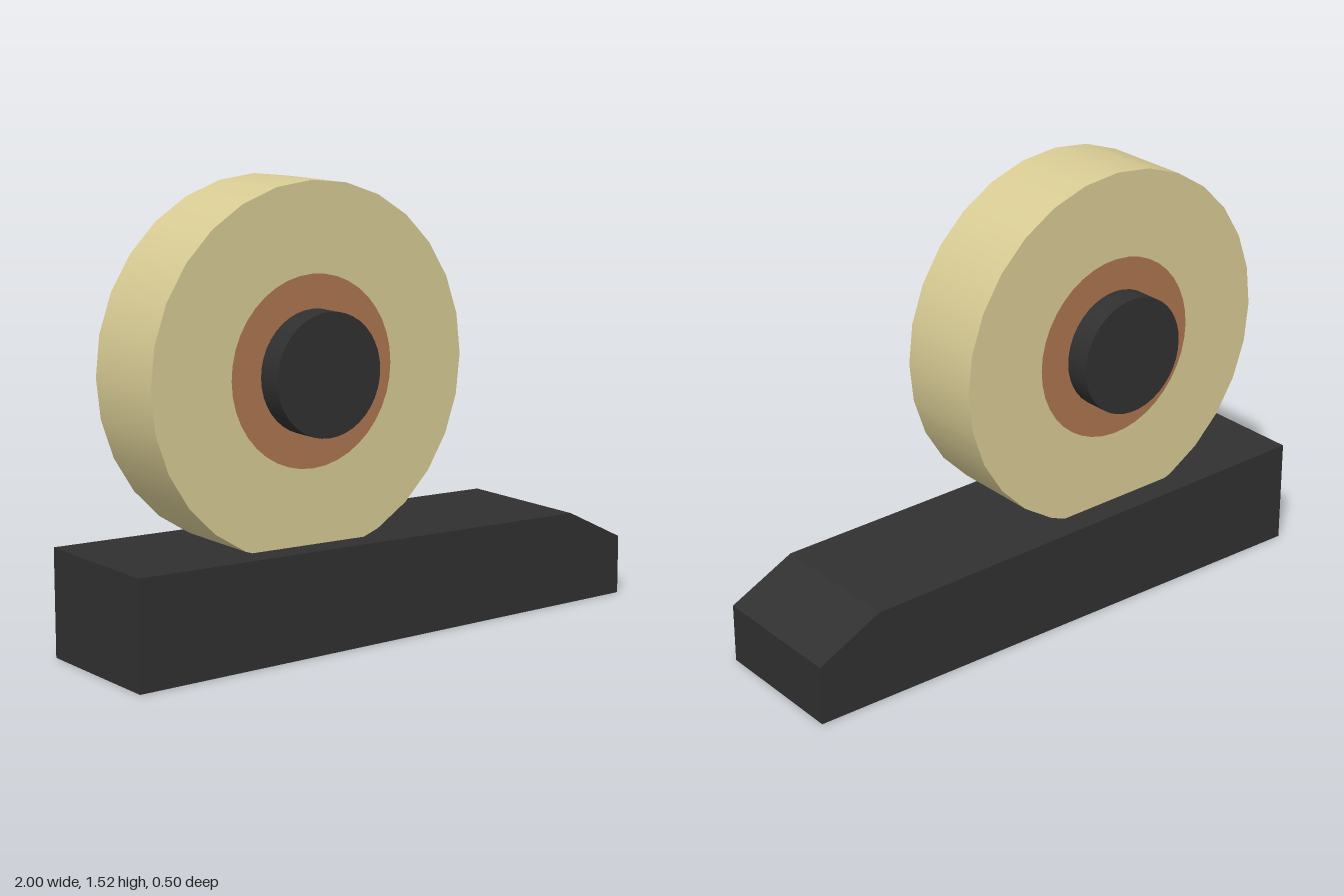
import * as THREE from 'three';

const AXLE_X = -0.275, AXLE_Y = 0.913;

export function createModel() {
  const group = new THREE.Group();
  const material = (name, color) => {
    const m = new THREE.MeshStandardMaterial({ color });
    m.name = name;
    return m;
  };
  const charcoal = material('charcoal', 0x303030);
  const tan = material('tan', 0xd8cb94);
  const brown = material('brown', 0xac7550);

  const add = (name, geometry, mat) => {
    const mesh = new THREE.Mesh(geometry, mat);
    mesh.name = name;
    group.add(mesh);
    return mesh;
  };

  // Disc lying across the model, centred on the axle
  const disc = (name, radius, depth, sides, mat) => {
    const geometry = new THREE.CylinderGeometry(radius, radius, depth, sides);
    geometry.rotateX(Math.PI / 2);
    add(name, geometry, mat).position.set(AXLE_X, AXLE_Y, 0);
  };

  // Base block with a gently sloping top and a bevelled end
  const profile = new THREE.Shape([
    [-1, 0], [1, 0], [1, 0.205], [0.77, 0.32], [-1, 0.365],
  ].map(([x, y]) => new THREE.Vector2(x, y)));
  const baseGeometry = new THREE.ExtrudeGeometry(profile, { depth: 0.5, bevelEnabled: false });
  baseGeometry.translate(0, 0, -0.25);
  add('base', baseGeometry, charcoal);

  // Roll resting in the base, and the spindle through it
  disc('roll', 0.612, 0.318, 28, tan);
  disc('spindle', 0.203, 0.5, 40, charcoal);

  // Thin core ring on each face of the roll
  for (const side of [1, -1]) {
    const ring = add(side > 0 ? 'frontCore' : 'backCore', new THREE.RingGeometry(0.19, 0.315, 40), brown);
    ring.position.set(AXLE_X, AXLE_Y, side * 0.161);
    if (side < 0) ring.rotation.y = Math.PI;
  }

  return group;
}
